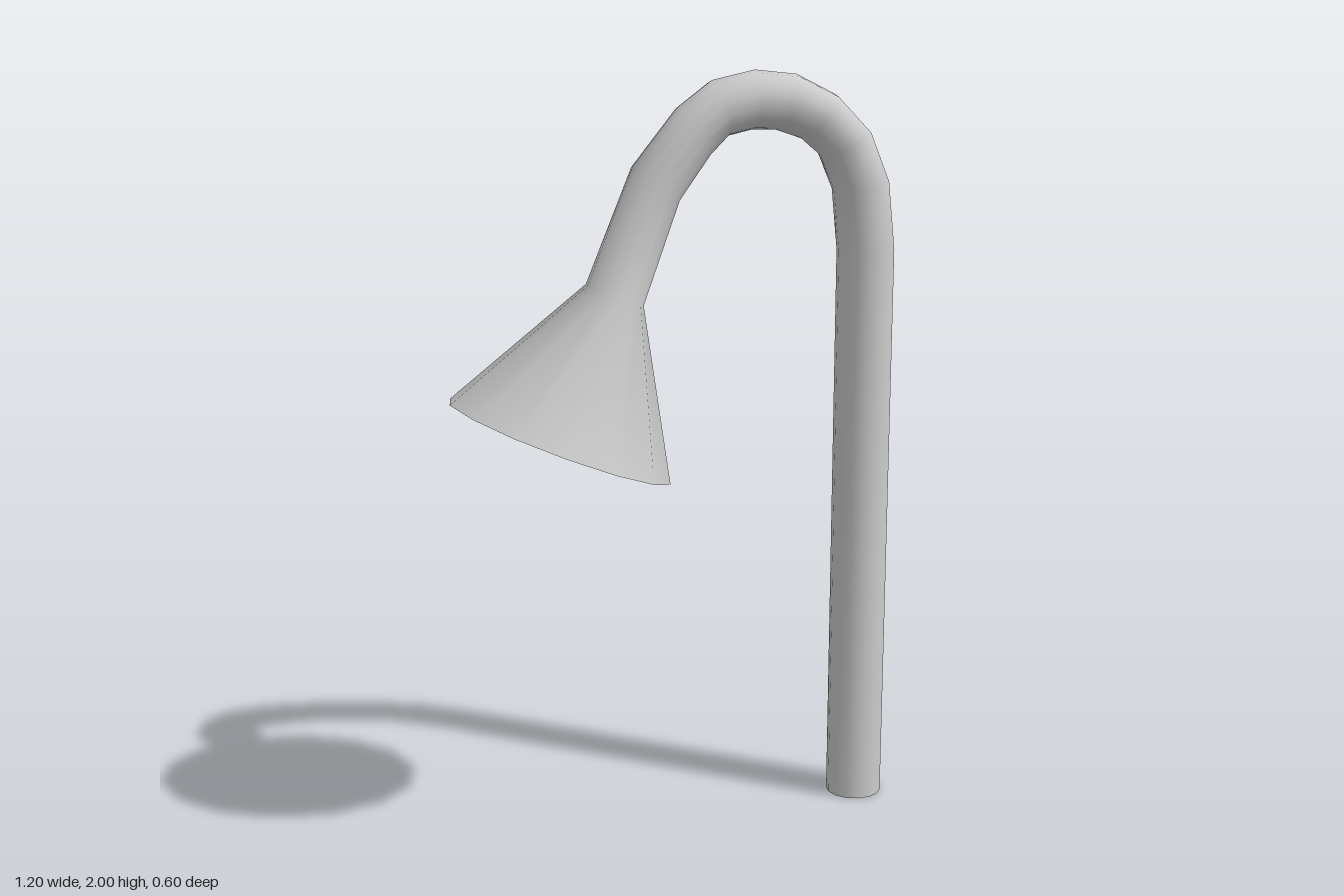
import * as THREE from 'three';
import { toCreasedNormals } from 'three/addons/utils/BufferGeometryUtils.js';

const SIDES = 14;

// Skin a run of elliptical rings: [outer x, outer y, inner x, inner y, half depth in z]
function skin(rings) {
  const pos = [], index = [];
  for (const [ox, oy, ix, iy, rz] of rings) {
    const cx = (ox + ix) / 2, cy = (oy + iy) / 2;
    for (let j = 0; j < SIDES; j++) {
      const a = (j / SIDES) * Math.PI * 2, c = Math.cos(a);
      pos.push(cx + (ox - cx) * c, cy + (oy - cy) * c, rz * Math.sin(a));
    }
  }
  for (let i = 0; i < rings.length - 1; i++) {
    for (let j = 0; j < SIDES; j++) {
      const k = (j + 1) % SIDES;
      const a = i * SIDES + j, b = i * SIDES + k, c = a + SIDES, d = b + SIDES;
      index.push(a, c, b, b, c, d);
    }
  }
  const g = new THREE.BufferGeometry();
  g.setAttribute('position', new THREE.Float32BufferAttribute(pos, 3));
  g.setIndex(index);
  return toCreasedNormals(g, 0.75);
}

// Shrink a ring about its own centre
function inset([ox, oy, ix, iy, rz], s) {
  const cx = (ox + ix) / 2, cy = (oy + iy) / 2;
  return [cx + (ox - cx) * s, cy + (oy - cy) * s, cx + (ix - cx) * s, cy + (iy - cy) * s, rz * s];
}

export function createModel() {
  const group = new THREE.Group();
  const material = new THREE.MeshStandardMaterial({ color: 0xcccccc });
  const add = (name, geometry) => {
    const mesh = new THREE.Mesh(geometry, material);
    mesh.name = name;
    group.add(mesh);
    return mesh;
  };

  const r = 0.074;
  const neck = [-0.24, 1.47, -0.10, 1.415, 0.103];
  const rim = [-0.603, 1.185, -0.037, 0.957, 0.306];

  // Upright post, hooked arm and flared shade in one continuous skin
  add('postArmAndShade', skin([
    [0.6, 0, 0.448, 0, r],
    [0.6, 1.53, 0.447, 1.53, r],
    [0.58, 1.71, 0.43, 1.69, r],
    [0.525, 1.84, 0.39, 1.78, r],
    [0.43, 1.935, 0.335, 1.825, r],
    [0.32, 1.988, 0.265, 1.848, r],
    [0.205, 2.0, 0.2, 1.85, r],
    [0.09, 1.975, 0.13, 1.835, r],
    [0, 1.91, 0.08, 1.785, r],
    [-0.12, 1.765, 0, 1.675, r],
    neck,
    rim,
  ]));

  // Flat lip and hollow inside of the shade
  const top = inset(neck, 0.7);
  add('shadeLining', skin([rim, inset(rim, 0.87), top, inset(top, 0.001)]));

  // Flat underside of the post
  const cap = add('postCap', new THREE.CircleGeometry(0.076, SIDES));
  cap.rotation.x = Math.PI / 2;
  cap.position.x = 0.524;

  return group;
}
